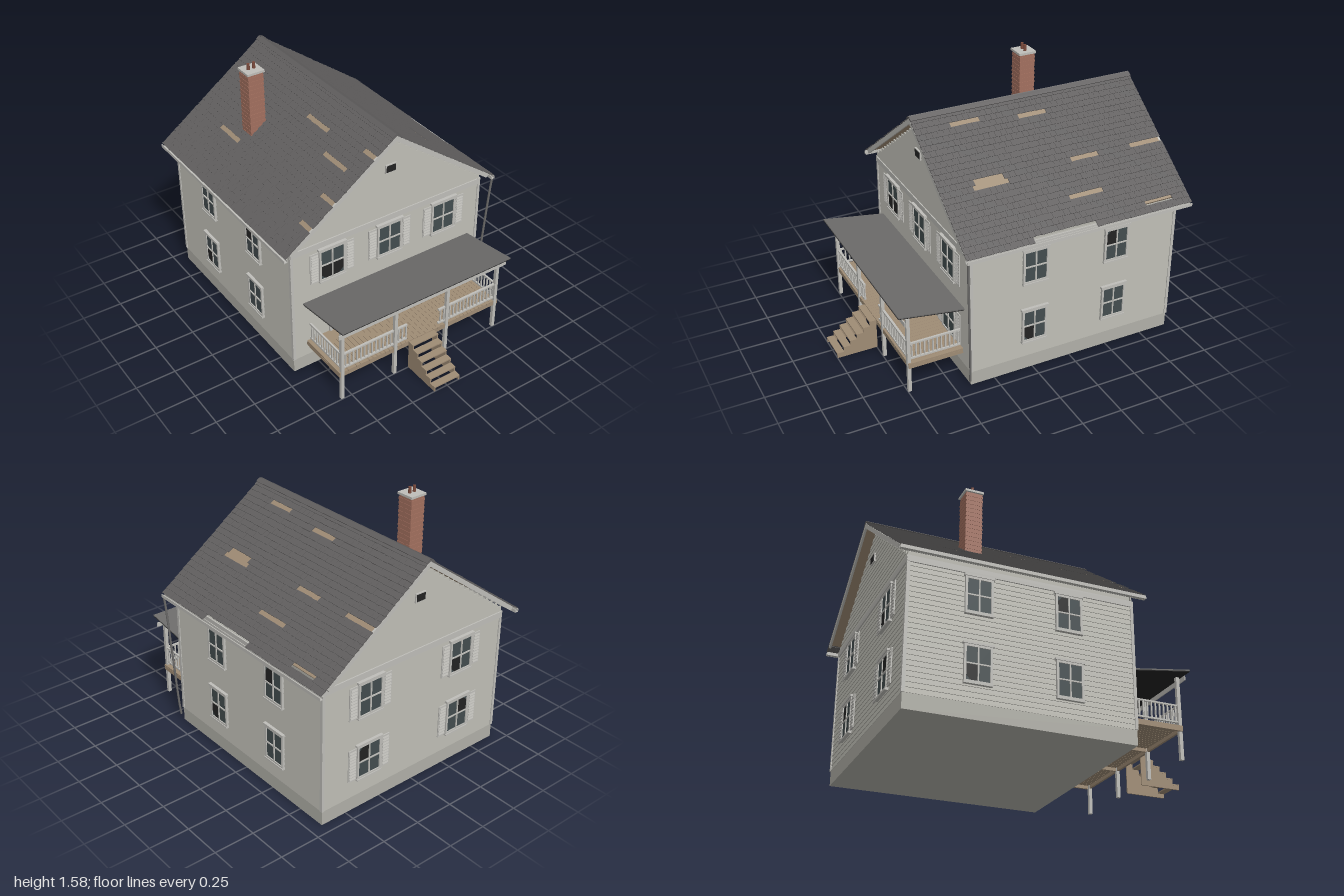
import * as THREE from 'three';
import { mergeGeometries } from 'three/addons/utils/BufferGeometryUtils.js';

const mat = (name, color, side = THREE.FrontSide) => {
  const m = new THREE.MeshStandardMaterial({ color, side });
  m.name = name;
  return m;
};

// box geometry, turned and placed
function box(w, h, d, x, y, z, rx = 0, rz = 0) {
  const g = new THREE.BoxGeometry(w, h, d);
  if (rx) g.rotateX(rx);
  if (rz) g.rotateZ(rz);
  return g.translate(x, y, z);
}

function add(parent, name, material, geos) {
  const m = new THREE.Mesh(Array.isArray(geos) ? mergeGeometries(geos) : geos, material);
  m.name = name;
  parent.add(m);
  return m;
}

function group(parent, name, x = 0, y = 0, z = 0, ry = 0) {
  const g = new THREE.Group();
  g.name = name;
  g.position.set(x, y, z);
  g.rotation.y = ry;
  parent.add(g);
  return g;
}

const shape = pts => new THREE.Shape(pts.map(p => new THREE.Vector2(...p)));

export function createModel() {
  const root = new THREE.Group();
  root.name = 'oldHouse';
  const M = {
    wall: mat('siding', 0xb8b7af), trim: mat('trim', 0xbfbeb9), base: mat('foundation', 0xb1b0a8),
    shingle: mat('shingle', 0x615f5f), metal: mat('metalRoof', 0x6c6b6a), wood: mat('wood', 0x9f8c75),
    brick: mat('brick', 0xa3705f), dark: mat('dark', 0x232323, THREE.DoubleSide),
    glass: mat('glass', 0x434d4f), pot: mat('clayPot', 0x7a4a3c),
  };
  let seed = 7;
  const rnd = () => (seed = (seed * 16807) % 2147483647) / 2147483647;
  const SLOPE = 0.727, A = Math.atan(SLOPE), ZC = -0.2675;
  const halfAt = y => (y < 0.9 ? 9 : (1.388 - y) / SLOPE);

  // foundation and core with gables
  add(root, 'foundation', M.base, box(1.34, 0.09, 1.335, 0, 0.045, ZC));
  const core = shape([[-0.66, 0.09], [0.66, 0.09], [0.66, 0.9], [0, 1.385], [-0.66, 0.9]]);
  add(root, 'houseCore', M.wall, new THREE.ExtrudeGeometry(core, { depth: 1.315, bevelEnabled: false }).translate(0, 0, -0.925));

  // louvred shutter
  function shutterParts(x) {
    const s = [box(0.058, 0.205, 0.006, x, 0, 0.003)];
    for (let i = 0; i < 10; i++) s.push(box(0.044, 0.012, 0.004, x, -0.085 + i * 0.019, 0.007, -0.35));
    return s;
  }

  // one window in wall coordinates; broken lists panes as [sideX, sideY]
  function windowOn(p, x, y, w, shutters, broken = []) {
    const h = 0.19, g = group(p, 'window', x, y, 0);
    add(g, 'glass', M.glass, box(w, h, 0.006, 0, 0, 0.001));
    const t = [box(w, 0.008, 0.008, 0, 0, 0.006), box(0.008, h, 0.008, 0, 0, 0.006),
      box(w + 0.04, 0.012, 0.022, 0, h / 2 + 0.019, 0.004), box(w + 0.03, 0.01, 0.022, 0, -h / 2 - 0.016, 0.004)];
    for (const s of [-1, 1]) {
      t.push(box(0.013, h + 0.026, 0.016, s * (w / 2 + 0.0065), 0, 0.002));
      t.push(box(w, 0.013, 0.016, 0, s * (h / 2 + 0.0065), 0.002));
    }
    add(g, 'windowFrame', M.trim, t);
    const a = w / 2, b = h / 2;
    const holes = broken.map(([sx, sy]) => new THREE.ShapeGeometry(
      shape([[0, 0], [a, 0], [a, b * 0.7], [a * 0.6, b], [0, b]].map(q => [q[0] * sx, q[1] * sy]))).translate(0, 0, 0.005));
    if (holes.length) add(g, 'brokenPane', M.dark, holes);
    if (shutters) add(g, 'shutters', M.trim, [-1, 1].flatMap(k => shutterParts(k * (a + 0.046))));
  }

  // wall face: clapboards, corner boards, frieze, gable vent
  function wall(name, w, x, z, ry, gable) {
    const f = group(root, name, x, 0, z, ry);
    const boards = [];
    for (let y = 0.09; y < (gable ? 1.36 : 0.87); y += 0.03) {
      const half = Math.min(w / 2 - 0.006, halfAt(y + 0.03));
      if (half > 0.01) boards.push(box(half * 2, 0.031, 0.007, 0, y + 0.015, -0.0085, -0.13));
    }
    add(f, 'clapboards', M.wall, boards);
    add(f, 'cornerBoards', M.trim, [-1, 1].map(s => box(0.018, 0.78, 0.016, s * (w / 2 - 0.009), 0.48, -0.0075)));
    add(f, 'frieze', M.trim, box(w - 0.002, 0.036, 0.016, 0, 0.85, -0.006));
    if (gable) {
      add(f, 'ventFrame', M.trim, box(0.074, 0.054, 0.012, 0, 1.187, -0.002));
      add(f, 'vent', M.dark, box(0.062, 0.042, 0.006, 0, 1.187, 0.003));
    }
    return f;
  }
  const UP = 0.705, LOW = 0.306;
  const front = wall('frontWall', 1.35, 0, 0.405, 0, true);
  windowOn(front, -0.4, UP, 0.15, true, [[-1, -1], [1, -1]]);
  windowOn(front, 0, UP, 0.15, true);
  windowOn(front, 0.395, UP, 0.15, true);
  windowOn(front, -0.068, LOW, 0.15, false, [[1, -1]]);
  windowOn(front, 0.395, LOW, 0.15, true);
  add(front, 'door', M.dark, box(0.147, 0.315, 0.008, -0.332, 0.2475, 0.001));
  add(front, 'doorHeader', M.dark, box(0.185, 0.022, 0.02, -0.332, 0.432, 0.004));
  add(front, 'doorFrame', M.trim, [-1, 1].map(s => box(0.018, 0.33, 0.016, -0.332 + s * 0.083, 0.255, 0.002)));
  const fallen = add(front, 'looseShutter', M.trim, shutterParts(0));
  fallen.position.set(0.083, 0.3, 0.016);
  fallen.rotation.z = -0.38;

  const back = wall('backWall', 1.35, 0, -0.94, Math.PI, true);
  for (const s of [-1, 1]) {
    windowOn(back, s * 0.343, UP, 0.15, true, s > 0 ? [[-1, -1]] : []);
    windowOn(back, s * 0.343, LOW, 0.15, true, s < 0 ? [[-1, 1]] : [[1, 1]]);
    const side = wall(s > 0 ? 'leftWall' : 'rightWall', 1.345, s * 0.675, ZC, s * Math.PI / 2, false);
    for (const k of [-1, 1]) {
      windowOn(side, k * 0.265, UP, 0.135, false, k > 0 ? [[-1, 1]] : []);
      windowOn(side, k * 0.265, LOW, 0.135, false, k < 0 ? [[-1, -1]] : []);
    }
  }

  // roof slopes; missing shingles as [distance from ridge in x, z from, z to]
  const missing = {
    left: [[0.37, -1, -0.79], [0.37, -0.58, -0.38], [0.565, -0.48, -0.27], [0.115, -0.38, -0.17], [0.07, 0.04, 0.24],
      [0.37, 0.04, 0.24], [0.41, 0.04, 0.24], [0.69, -0.9, -0.7], [0.715, -0.38, 0.03]],
    right: [[0.48, -0.69, -0.48], [0.16, -0.17, 0.03], [0.265, 0.14, 0.34], [0.57, 0.34, 0.46], [0.395, 0.34, 0.46], [0.14, 0.34, 0.46]],
  };
  const RZ = -0.2725, RL = 1.455, EXP = 0.0375;
  for (const [s, hand] of [[1, 'left'], [-1, 'right']]) {
    const turn = group(root, hand + 'Roof', 0, 1.42, RZ, s > 0 ? 0 : Math.PI);
    const slope = group(turn, 'slope');
    slope.rotation.z = -A;
    add(slope, 'roofDeck', M.wood, box(0.845, 0.014, RL - 0.02, 0.4225, -0.009, 0));
    add(slope, 'rakeBoards', M.trim, [-1, 1].map(k => box(0.86, 0.026, 0.012, 0.43, -0.014, k * (RL / 2 - 0.007))));
    const tiles = [], n = 40, w = RL / n;
    for (let c = 0; c < 24; c++) {
      const gone = missing[hand].filter(m => Math.floor(m[0] / Math.cos(A) / EXP) === c);
      const off = c % 2 ? w / 2 : 0;
      for (let i = 0; i <= n; i++) {
        const z0 = Math.max(-RL / 2, -RL / 2 + i * w - off), z1 = Math.min(RL / 2, -RL / 2 + (i + 1) * w - off);
        const zm = (z0 + z1) / 2, z = s * zm + RZ, lift = rnd() * 0.003;
        if (z1 - z0 < 0.005 || gone.some(m => z > m[1] && z < m[2])) continue;
        tiles.push(box(0.047, 0.005, z1 - z0 - 0.001, (c + 0.5) * EXP + lift, 0.003 + lift / 2, zm, 0, 0.1));
      }
    }
    add(slope, 'shingles', M.shingle, tiles);
    add(slope, 'ridgeCap', M.shingle, box(0.03, 0.006, RL, 0.011, 0.011, 0));
    add(turn, 'gutter', M.trim, [box(0.022, 0.005, RL, 0.732, -0.552, 0),
      ...[0.722, 0.742].map(x => box(0.004, 0.02, RL, x, -0.545, 0))]);
  }
  const pipe = new THREE.CatmullRomCurve3([[0.735, 0.87, 0.445], [0.728, 0.8, 0.442], [0.69, 0.1, 0.414], [0.683, 0.04, 0.412]]
    .map(p => new THREE.Vector3(...p)));
  add(root, 'downspout', M.metal, new THREE.TubeGeometry(pipe, 12, 0.007, 8));

  // brick chimney
  const chimney = group(root, 'chimney', -0.368, 0, -0.472);
  const courses = [];
  for (let i = 0; i < 34; i++) {
    const d = i % 2 ? 0.1 : 0.104;
    courses.push(box(d, 0.0135, d, 0, 1.068 + i * 0.0135, 0));
  }
  add(chimney, 'chimneyBricks', M.brick, courses);
  add(chimney, 'chimneyCap', M.trim, box(0.115, 0.014, 0.115, 0, 1.53, 0));
  add(chimney, 'chimneyPots', M.pot, [-1, 1].map(s => new THREE.CylinderGeometry(0.009, 0.01, 0.04, 12).translate(s * 0.018, 1.555, 0)));

  // porch deck and posts
  const porch = group(root, 'porch');
  const planks = [], rails = [];
  for (let i = 0; i < 40; i++) planks.push(box(0.0275, 0.012, 0.34, -0.5655 + i * 0.029, 0.195, 0.576));
  for (const z of [0.413, 0.738]) planks.push(box(1.16, 0.022, 0.014, 0, 0.179, z));
  for (const x of [-0.573, -0.19, 0.19, 0.573]) planks.push(box(0.014, 0.022, 0.32, x, 0.179, 0.576));
  add(porch, 'porchDeck', M.wood, planks);
  add(porch, 'porchPosts', M.trim, [-0.56, -0.19, 0.185, 0.56].map(x => box(0.021, 0.5, 0.021, x, 0.25, 0.738)));

  // railings, open at the stairs
  for (const [x0, x1] of [[-0.55, -0.2], [-0.18, -0.105], [0.125, 0.175], [0.196, 0.55]]) {
    for (const y of [0.225, 0.325]) rails.push(box(x1 - x0, 0.01, 0.014, (x0 + x1) / 2, y, 0.735));
    for (let x = x0 + 0.018; x < x1 - 0.005; x += 0.026) rails.push(box(0.008, 0.1, 0.008, x, 0.275, 0.735));
  }
  for (const x of [-0.56, 0.56]) {
    for (const y of [0.225, 0.325]) rails.push(box(0.012, 0.01, 0.32, x, y, 0.575));
    for (let z = 0.43; z < 0.72; z += 0.026) rails.push(box(0.008, 0.1, 0.008, x, 0.275, z));
  }
  add(porch, 'railings', M.trim, rails);

  // sagging porch roof, dark underneath
  const cover = group(porch, 'porchRoof', 0, 0.511, 0.605);
  cover.rotation.x = -0.149;
  add(cover, 'porchRoofSheet', M.metal, box(1.2, 0.007, 0.404, 0, 0.0025, 0));
  add(cover, 'porchCeiling', M.dark, box(1.198, 0.005, 0.402, 0, -0.0035, 0));
  add(porch, 'porchFascia', M.trim, box(1.2, 0.028, 0.006, 0, 0.49, 0.768));

  // stairs: stepped stringers and open treads
  const steps = 6, run = 0.0425, rise = 0.0325, profile = [[0.745, 0], [1, 0]];
  const treads = [];
  for (let i = 0; i < steps; i++) {
    const z = 1 - i * run, y = (i + 1) * rise;
    profile.push([z, y - 0.006], [z - run, y - 0.006]);
    treads.push(box(0.186, 0.008, run + 0.002, 0, y - 0.003, z - run / 2));
  }
  const stairs = group(porch, 'stairs', -0.002);
  add(stairs, 'treads', M.wood, treads);
  for (const x of [-0.092, 0.084]) {
    const side = new THREE.ExtrudeGeometry(shape(profile), { depth: 0.008, bevelEnabled: false });
    add(stairs, 'stringer', M.wood, side.rotateY(-Math.PI / 2).translate(x + 0.008, 0, 0));
  }
  return root;
}
